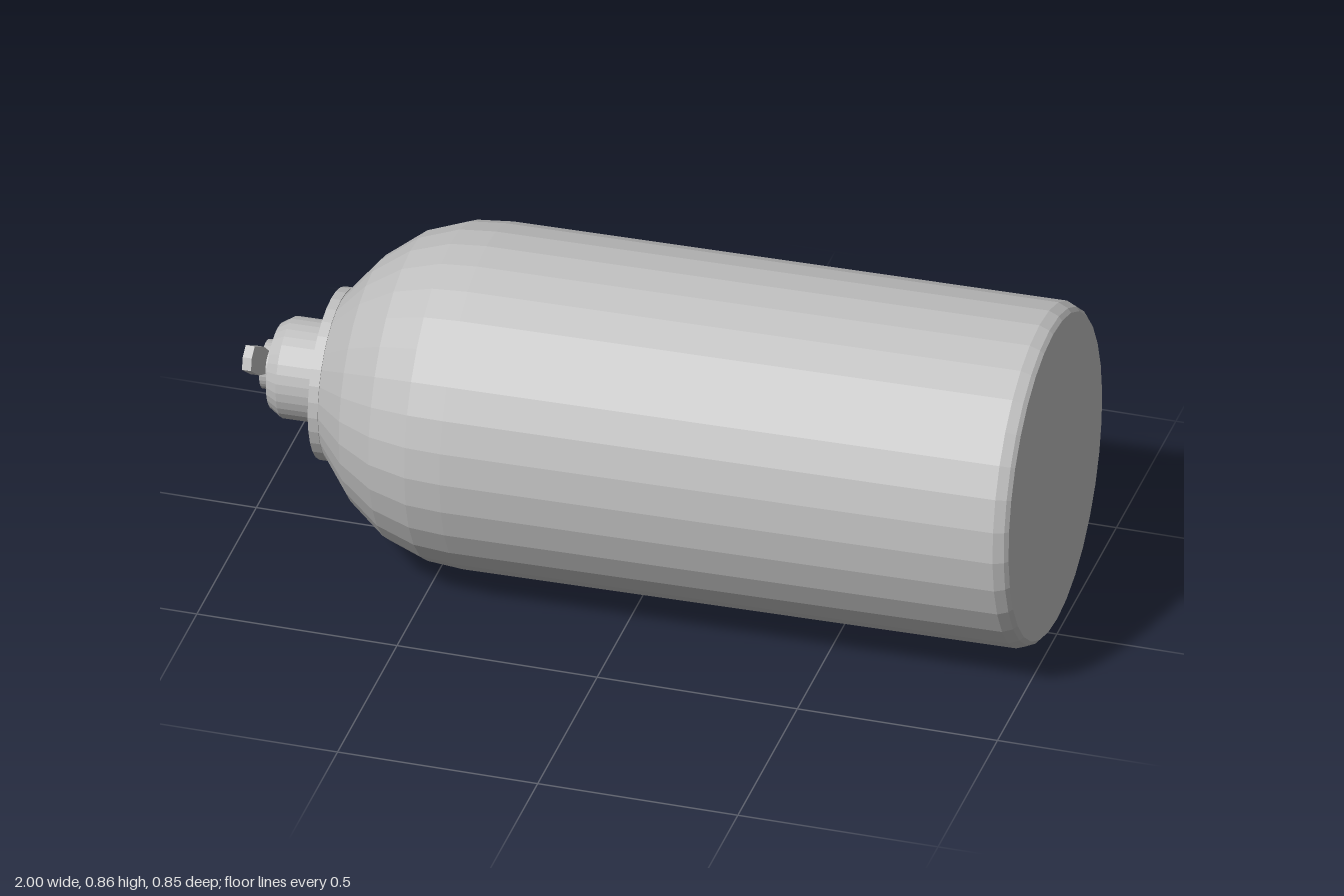
import * as THREE from 'three';

export function createModel() {
  const model = new THREE.Group();
  const grey = new THREE.MeshStandardMaterial({ color: 0xbfbfbf, flatShading: true });
  grey.name = 'plain grey';

  // the bottle lies along x, very slightly tilted
  const bottle = new THREE.Group();
  bottle.name = 'gasBottle';
  bottle.position.set(0, 0.432, -0.002);
  bottle.rotation.set(0, 0.005, 0.0137);
  model.add(bottle);

  const add = (name, geometry) => {
    const mesh = new THREE.Mesh(geometry, grey);
    mesh.name = name;
    bottle.add(mesh);
    return mesh;
  };

  // profile points are [x, radius], listed from the base towards the valve
  const turned = (name, profile) => {
    const points = profile.map(([x, r]) => new THREE.Vector2(r, -x));
    add(name, new THREE.LatheGeometry(points, 32).rotateZ(Math.PI / 2));
  };

  turned('tank', [
    [0.994, 0], [0.994, 0.4], [0.985, 0.41], [0.96, 0.421], [-0.42, 0.421],
    [-0.51, 0.413], [-0.61, 0.377], [-0.705, 0.304], [-0.787, 0.205], [-0.787, 0],
  ]);
  turned('neckRing', [[-0.785, 0], [-0.785, 0.21], [-0.81, 0.21], [-0.81, 0]]);
  turned('neck', [[-0.8, 0.098], [-0.825, 0.098]]);
  turned('valveBody', [
    [-0.818, 0], [-0.818, 0.124], [-0.915, 0.124], [-0.945, 0.105], [-0.945, 0],
  ]);
  turned('valveStem', [[-0.94, 0.06], [-0.975, 0.06], [-0.975, 0]]);

  // diagonal wing handle: narrow in the middle, flared at both ends
  const half = [[-0.03, 0.024], [0.03, 0.024], [0.085, 0.035], [0.138, 0.03]];
  const outline = [
    [-0.138, 0.03], [-0.085, 0.035], ...half,
    [0.145, 0], [0.138, -0.03], [0.085, -0.035], [0.03, -0.024],
    [-0.03, -0.024], [-0.085, -0.035], [-0.138, -0.03], [-0.145, 0],
  ].map(([u, v]) => new THREE.Vector2(u, v));
  const wing = new THREE.ExtrudeGeometry(new THREE.Shape(outline), {
    depth: 0.024, bevelEnabled: false,
  });
  wing.translate(0, 0, -0.012);
  const handle = add('valveHandle', wing);
  // long side runs from low at the back to high at the front, leaning outwards
  const along = new THREE.Vector3(-0.024, 0.08, 0.112).normalize();
  const across = new THREE.Vector3(0, 0.112, -0.08).normalize();
  const out = new THREE.Vector3().crossVectors(along, across);
  handle.quaternion.setFromRotationMatrix(new THREE.Matrix4().makeBasis(along, across, out));
  handle.position.set(-0.962, 0.001, 0);

  return model;
}
